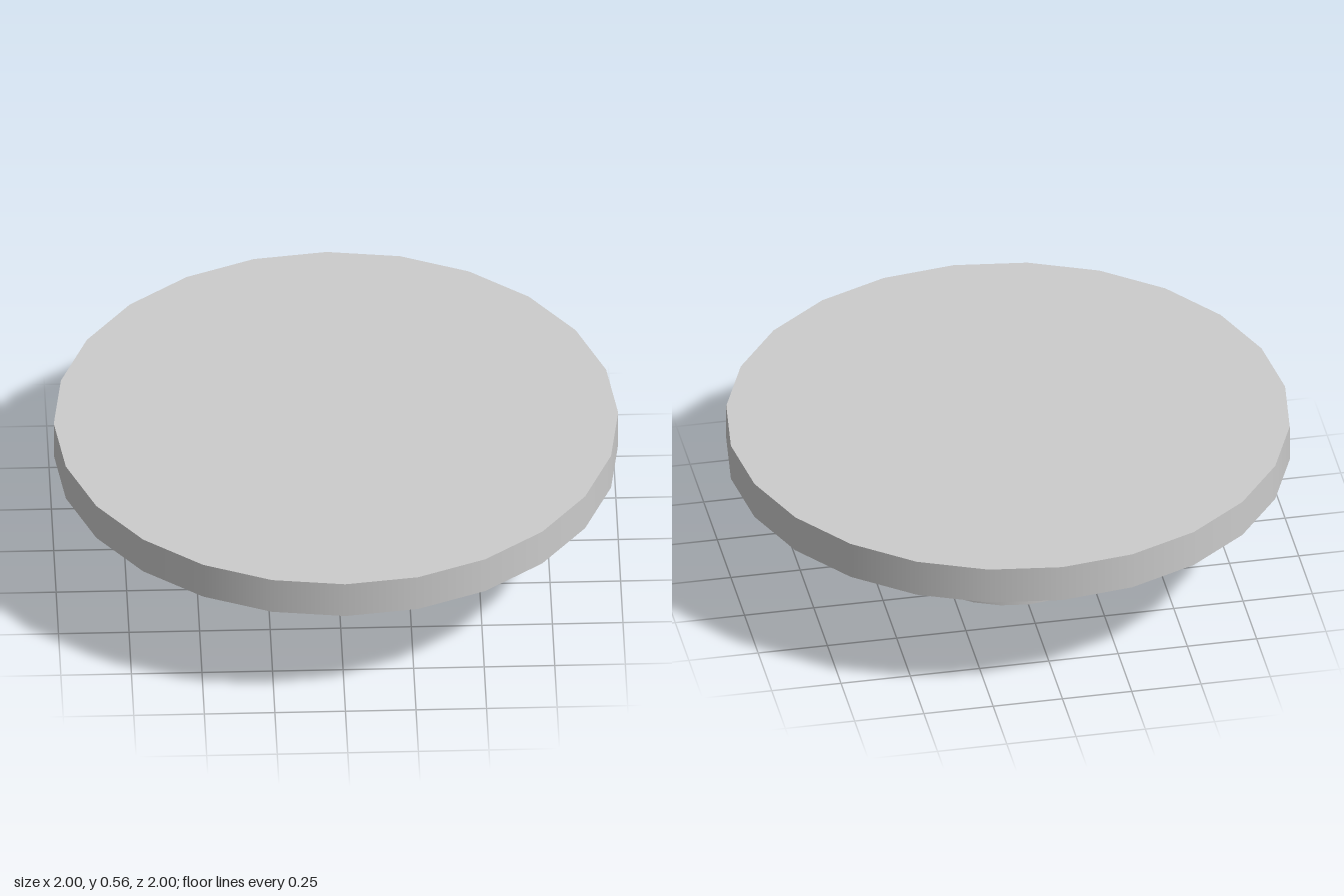
import * as THREE from 'three';

export function createModel() {
  const group = new THREE.Group();
  const material = new THREE.MeshStandardMaterial({ color: 0xcccccc });

  // Upright disc spanning from bottom to top
  function addDisc(name, radius, bottom, top) {
    const geometry = new THREE.CylinderGeometry(radius, radius, top - bottom, 24);
    const mesh = new THREE.Mesh(geometry, material);
    mesh.name = name;
    mesh.position.y = (bottom + top) / 2;
    group.add(mesh);
  }

  addDisc('base', 0.375, 0, 0.094);
  addDisc('pedestal', 0.25, 0.094, 0.417);
  addDisc('tabletop', 1, 0.417, 0.556);

  return group;
}
